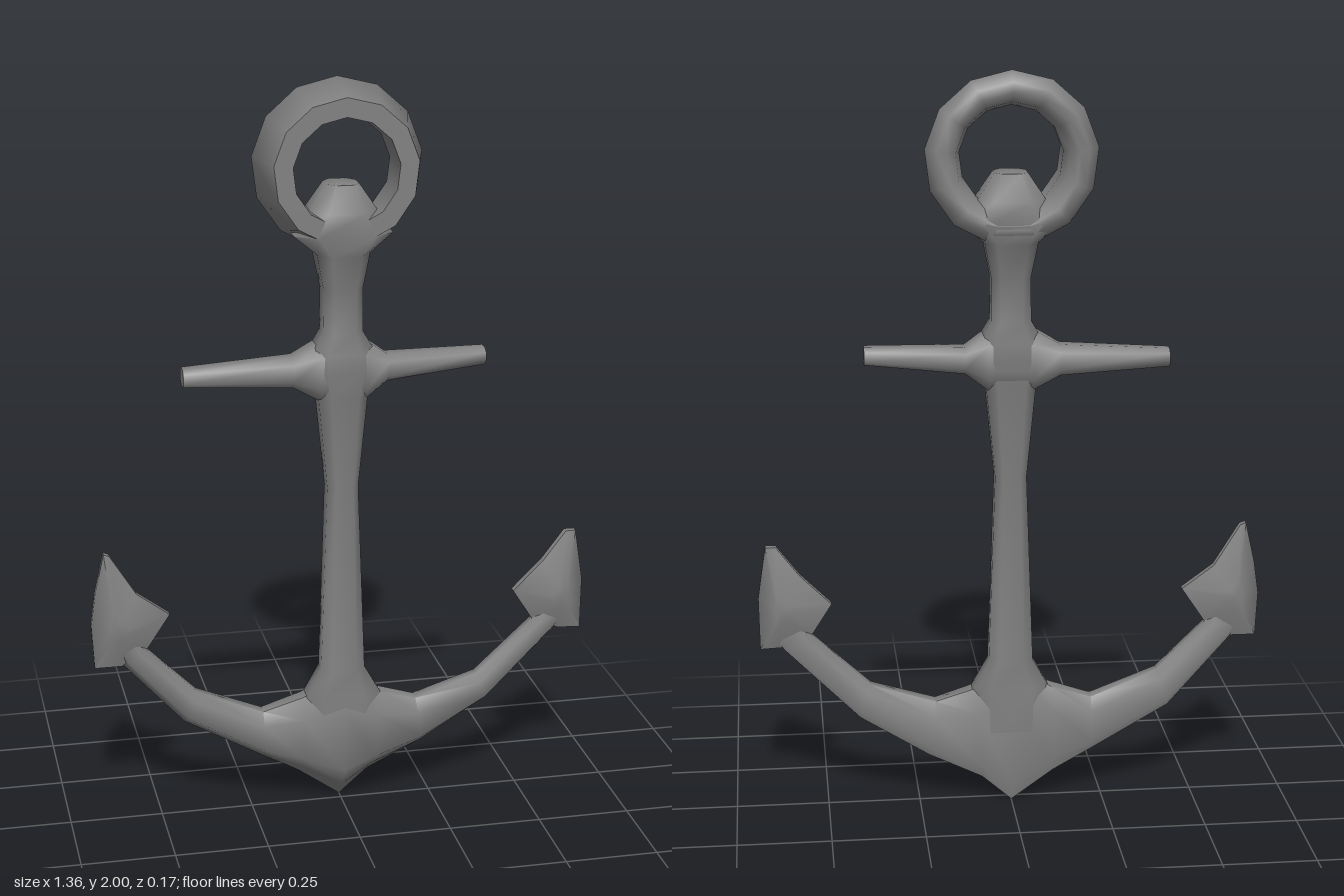
import * as THREE from 'three';
import { toCreasedNormals } from 'three/addons/utils/BufferGeometryUtils.js';

const material = new THREE.MeshStandardMaterial({ color: 0x808080 });

// Skin a row of equal-sized point rings; close both ends with fans.
function loft(rings) {
  const n = rings[0].length, pos = rings.flat(2), index = [];
  for (let r = 0; r < rings.length - 1; r++) {
    for (let i = 0; i < n; i++) {
      const a = r * n + i, b = r * n + (i + 1) % n;
      index.push(a, b, a + n, b, b + n, a + n);
    }
  }
  for (const r of [0, rings.length - 1]) {
    const centre = pos.length / 3;
    for (let k = 0; k < 3; k++) pos.push(rings[r].reduce((s, p) => s + p[k], 0) / n);
    for (let i = 0; i < n; i++) {
      const a = r * n + i, b = r * n + (i + 1) % n;
      if (r === 0) index.push(centre, b, a);
      else index.push(centre, a, b);
    }
  }
  const g = new THREE.BufferGeometry();
  g.setAttribute('position', new THREE.Float32BufferAttribute(pos, 3));
  g.setIndex(index);
  return g;
}

// Turn faces outward (by signed volume) and crease the sharp edges.
function finish(geometry, name) {
  const p = geometry.attributes.position, id = geometry.index.array;
  const [a, b, c] = [0, 1, 2].map(() => new THREE.Vector3());
  let volume = 0;
  for (let i = 0; i < id.length; i += 3) {
    a.fromBufferAttribute(p, id[i]);
    b.fromBufferAttribute(p, id[i + 1]);
    c.fromBufferAttribute(p, id[i + 2]);
    volume += a.dot(b.cross(c));
  }
  if (volume < 0) id.reverse();
  const g = geometry.toNonIndexed();
  g.deleteAttribute('normal');
  const mesh = new THREE.Mesh(toCreasedNormals(g, 1.15), material);
  mesh.name = name;
  return mesh;
}

// Chamfered rectangle: u runs lo..hi, v runs back..front.
const octagon = [[0, 0.27], [0.22, 0], [0.78, 0], [1, 0.27], [1, 0.73], [0.78, 1], [0.22, 1], [0, 0.73]];
const section = (lo, hi, back, front, place) =>
  octagon.map(([u, v]) => place(lo + (hi - lo) * u, back + (front - back) * v));

export function createModel() {
  const anchor = new THREE.Group();
  anchor.name = 'anchor';

  // Top ring: rounded at the back, sharp at the front, turned around the z axis
  const profile = [[0.172, -0.085], [0.148, -0.068], [0.135, -0.025], [0.14, 0.08], [0.19, 0.08],
    [0.226, -0.045], [0.198, -0.083], [0.172, -0.085]].map(([r, z]) => new THREE.Vector2(r, z));
  const ring = new THREE.LatheGeometry(profile, 13);
  ring.rotateX(Math.PI / 2).rotateZ(Math.PI).translate(0, 1.774, 0);
  anchor.add(finish(ring, 'ring'));

  // Shank with its knob inside the ring: y, half width, back z, front z
  const shank = [
    [0.2, 0.1, -0.037, 0.05], [0.32, 0.105, -0.037, 0.052], [0.4, 0.06, -0.037, 0.052],
    [0.92, 0.042, -0.04, 0.05], [1.17, 0.066, -0.05, 0.06], [1.24, 0.085, -0.057, 0.068],
    [1.29, 0.085, -0.057, 0.065], [1.345, 0.053, -0.053, 0.058], [1.46, 0.052, -0.053, 0.062],
    [1.555, 0.07, -0.08, 0.081], [1.605, 0.13, -0.085, 0.082], [1.665, 0.09, -0.08, 0.08],
    [1.735, 0.043, -0.05, 0.05],
  ].map(([y, w, back, front]) => section(-w, w, back, front, (x, z) => [x, y, z]));
  anchor.add(finish(loft(shank), 'shank'));

  // Crossbar, slightly askew: x, bottom y, top y, back z, front z
  const bar = [
    [-0.42, 1.213, 1.262, -0.036, 0.022], [-0.13, 1.197, 1.28, -0.048, 0.036],
    [-0.06, 1.16, 1.32, -0.055, 0.06], [0.06, 1.16, 1.32, -0.055, 0.06],
    [0.12, 1.205, 1.277, -0.04, 0.045], [0.385, 1.233, 1.28, -0.025, 0.036],
  ].map(([x, lo, hi, back, front]) => section(lo, hi, back, front, (y, z) => [x, y, z]));
  anchor.add(finish(loft(bar), 'crossbar'));

  // Curved arms with a front-bevelled keel: bottom x, y, top x, y, half depth, z offset
  const keel = [[0, -0.75], [0.13, 0.2], [0.27, 1], [0.75, 1], [1, 0.5], [1, -0.5], [0.75, -1], [0.15, -1]];
  const arms = [
    [-0.625, 0.49, -0.55, 0.53, 0.018, 0], [-0.6, 0.45, -0.53, 0.49, 0.022, 0],
    [-0.43, 0.26, -0.4, 0.36, 0.03, 0], [-0.22, 0.14, -0.22, 0.287, 0.037, 0.004],
    [-0.115, 0.082, -0.11, 0.322, 0.043, 0.007], [0, 0, 0, 0.38, 0.045, 0.008],
    [0.08, 0.07, 0.1, 0.322, 0.043, 0.007], [0.225, 0.14, 0.205, 0.29, 0.037, 0.004],
    [0.41, 0.255, 0.38, 0.345, 0.03, 0], [0.61, 0.455, 0.535, 0.49, 0.022, 0],
    [0.635, 0.49, 0.555, 0.53, 0.018, 0],
  ].map(([bx, by, tx, ty, d, z]) => keel.map(([t, w]) =>
    [bx + (tx - bx) * t, by + (ty - by) * t, z + w * d]));
  anchor.add(finish(loft(arms), 'arms'));

  // Flukes: thin-edged blades swelling towards a raised middle
  const fluke = (outline, cx, cy, name) => {
    const layer = (s, z) => outline.map(([x, y]) => [cx + (x - cx) * s, cy + (y - cy) * s, z]);
    const blade = loft([layer(0.25, -0.036), layer(1, -0.01), layer(1, 0.01), layer(0.25, 0.036)]);
    anchor.add(finish(blade, name));
  };
  fluke([[-0.625, 0.765], [-0.64, 0.77], [-0.665, 0.66], [-0.678, 0.57], [-0.672, 0.45],
    [-0.6, 0.45], [-0.53, 0.495], [-0.468, 0.588], [-0.555, 0.652]], -0.615, 0.56, 'rightFluke');
  fluke([[0.628, 0.742], [0.655, 0.742], [0.668, 0.66], [0.677, 0.6], [0.675, 0.457],
    [0.612, 0.46], [0.535, 0.495], [0.482, 0.578], [0.565, 0.66]], 0.62, 0.56, 'leftFluke');

  return anchor;
}
